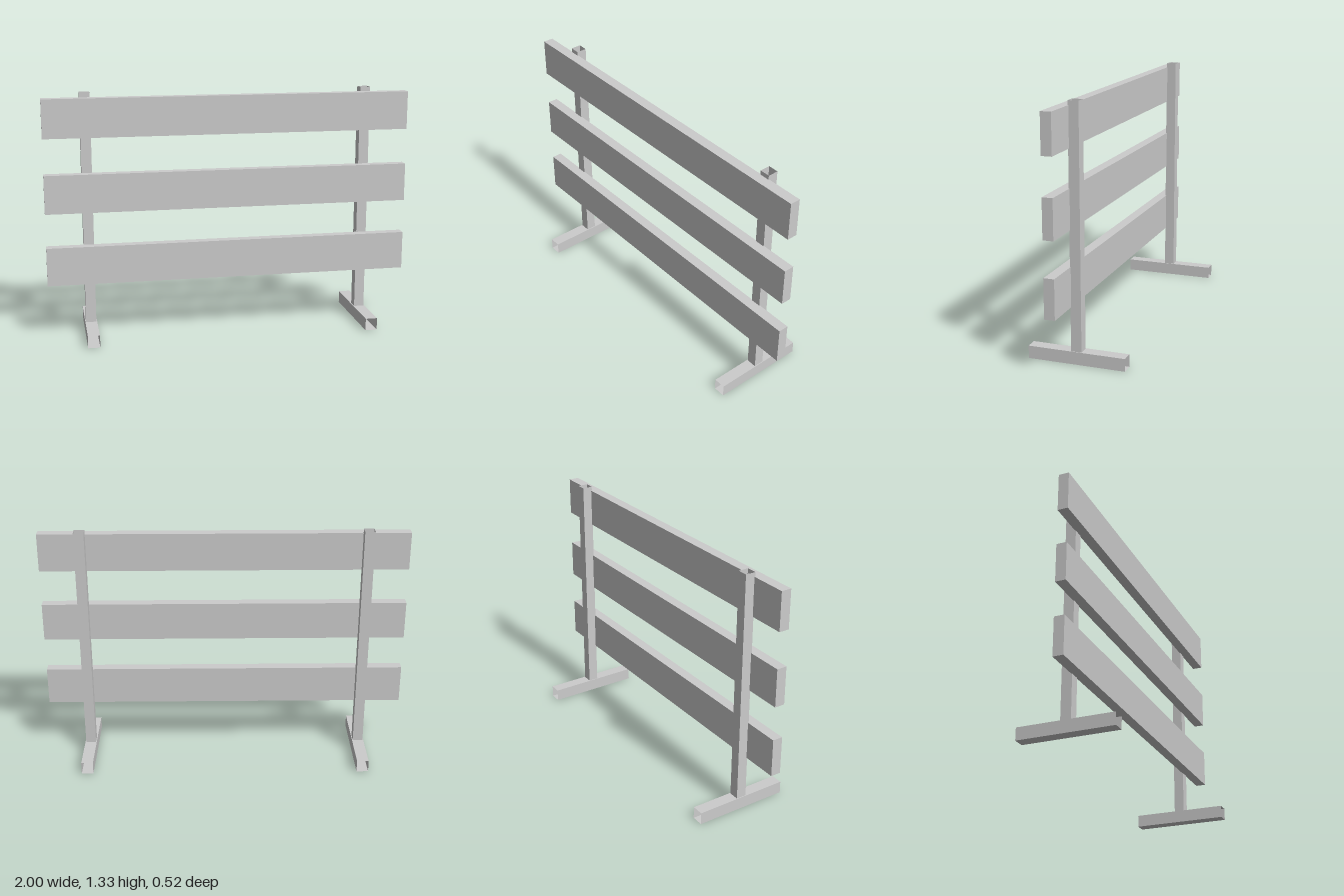
import * as THREE from 'three';

const solid = new THREE.MeshStandardMaterial({ color: 0xcccccc, flatShading: true });
const sheet = new THREE.MeshStandardMaterial({ color: 0xcccccc, flatShading: true, side: THREE.DoubleSide });

// Open-ended rectangular tube along y, thin-walled
function squareTube(width, depth, length) {
  const g = new THREE.CylinderGeometry(Math.SQRT1_2, Math.SQRT1_2, length, 4, 1, true, Math.PI / 4);
  return g.scale(width, 1, depth);
}

function addPart(parent, name, geometry, material, x, y, z) {
  const mesh = new THREE.Mesh(geometry, material);
  mesh.name = name;
  mesh.position.set(x, y, z);
  parent.add(mesh);
}

export function createModel() {
  const model = new THREE.Group();
  model.name = 'barrier';

  // Two stands: upright hollow post on a hollow foot
  const postBottom = 0.01, postTop = 1.334;
  const postGeometry = squareTube(0.056, 0.056, postTop - postBottom);
  const footGeometry = squareTube(0.065, 0.067, 0.52).rotateX(Math.PI / 2);
  for (const [side, x] of [['left', 0.77], ['right', -0.77]]) {
    const stand = new THREE.Group();
    stand.name = side + 'Stand';
    stand.position.x = x;
    addPart(stand, side + 'Post', postGeometry, sheet, 0, (postBottom + postTop) / 2, 0);
    addPart(stand, side + 'Foot', footGeometry, sheet, 0, 0.0335, 0);
    model.add(stand);
  }

  // Three planks across the front of the posts
  const plankGeometry = new THREE.BoxGeometry(2, 0.209, 0.056);
  const planks = [['lowerPlank', 0.405], ['middlePlank', 0.801], ['upperPlank', 1.206]];
  for (const [name, y] of planks) addPart(model, name, plankGeometry, solid, 0, y, 0.052);

  return model;
}
